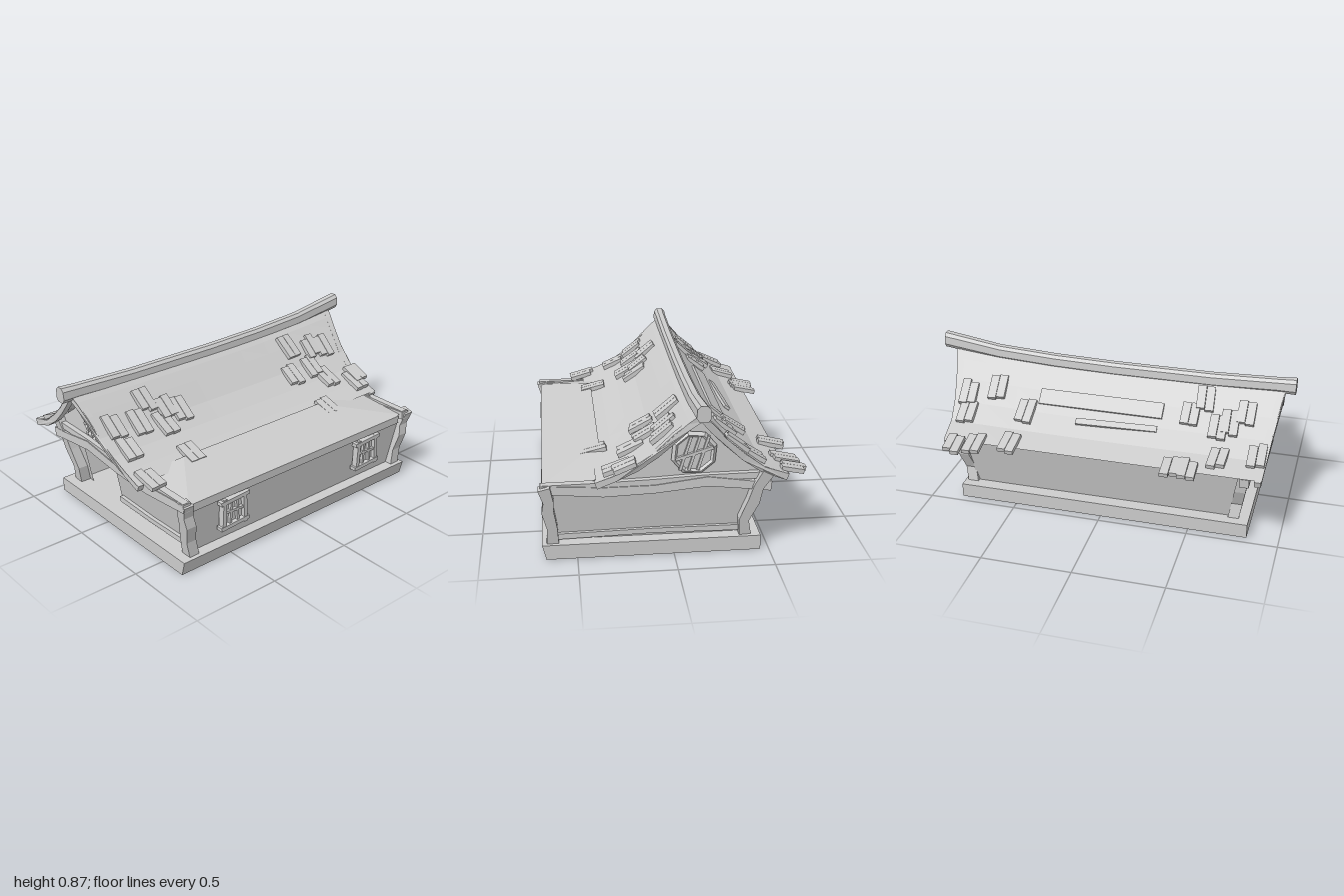
import * as THREE from 'three';

const grey = new THREE.MeshStandardMaterial({ color: 0xcccccc, flatShading: true, side: THREE.DoubleSide });

function add(parent, name, geo, x = 0, y = 0, z = 0) {
  const m = new THREE.Mesh(geo, grey);
  m.name = name;
  m.position.set(x, y, z);
  parent.add(m);
  return m;
}

// Move every vertex by a rule
function warp(geo, rule) {
  const p = geo.attributes.position, v = new THREE.Vector3();
  for (let i = 0; i < p.count; i++) {
    v.fromBufferAttribute(p, i);
    rule(v);
    p.setXYZ(i, v.x, v.y, v.z);
  }
  geo.computeVertexNormals();
  return geo;
}

// Surface from polygons of [x, y, z] corners
function faces(polys) {
  const pos = [];
  for (const p of polys)
    for (let i = 1; i < p.length - 1; i++) pos.push(...p[0], ...p[i], ...p[i + 1]);
  const g = new THREE.BufferGeometry();
  g.setAttribute('position', new THREE.Float32BufferAttribute(pos, 3));
  g.computeVertexNormals();
  return g;
}

// Crooked timber: a path in the xy plane with a width and a depth in z
function timber(path, width, depth) {
  const left = [], right = [];
  path.forEach(([x, y], i) => {
    const a = path[Math.max(i - 1, 0)], b = path[Math.min(i + 1, path.length - 1)];
    const dx = b[0] - a[0], dy = b[1] - a[1], l = Math.hypot(dx, dy);
    const w = width * (i % 2 ? 0.44 : 0.52);
    left.push(new THREE.Vector2(x - dy / l * w, y + dx / l * w));
    right.unshift(new THREE.Vector2(x + dy / l * w, y - dx / l * w));
  });
  const g = new THREE.ExtrudeGeometry(new THREE.Shape([...left, ...right]), { depth, bevelEnabled: false });
  return g.translate(0, 0, -depth / 2);
}

let seed = 7;
const rnd = () => (seed = (seed * 16807) % 2147483647) / 2147483647 - 0.5;

// Roof cross-section, sagging lengthwise towards the middle
const RIDGE = -0.12;
const profile = [[-0.58, 0.44], [-0.45, 0.48], [-0.35, 0.55], [-0.25, 0.635], [-0.18, 0.71], [RIDGE, 0.775],
  [-0.06, 0.73], [0, 0.675], [0.1, 0.58], [0.2, 0.515], [0.3, 0.47], [0.4, 0.435]];
function roofY(x, z) {
  let i = 0;
  while (i < profile.length - 2 && x > profile[i + 1][0]) i++;
  const [a, b] = [profile[i], profile[i + 1]];
  const near = Math.max(0, 1 - Math.abs(x - RIDGE) / 0.45);
  return a[1] + (b[1] - a[1]) * (x - a[0]) / (b[0] - a[0]) + near * z * z * (z > 0 ? 0.01 : 0.045);
}
const edgeZ = (x, s) => {
  const near = Math.max(0, 1 - Math.abs(x - RIDGE) / 0.46);
  return s > 0 ? 0.9 + 0.055 * near * near : -0.855 - 0.09 * near * near;
};

function latticeWindow() {
  const g = new THREE.Group();
  g.name = 'sideWindow';
  add(g, 'windowPane', new THREE.BoxGeometry(0.14, 0.15, 0.01));
  for (const s of [-1, 1]) {
    add(g, 'windowStile', new THREE.BoxGeometry(0.022, 0.18, 0.035), s * 0.07, 0, 0.01).rotation.z = s * 0.04;
    add(g, 'windowRail', new THREE.BoxGeometry(0.19, 0.022, 0.04), 0, s * 0.075, 0.01).rotation.z = 0.06;
    add(g, 'windowBar', new THREE.BoxGeometry(0.014, 0.15, 0.022), s * 0.022, 0, 0.01).rotation.z = s * 0.05;
  }
  add(g, 'windowBar', new THREE.BoxGeometry(0.15, 0.014, 0.022), 0, 0.005, 0.012).rotation.z = -0.05;
  return g;
}

function roundWindow() {
  const g = new THREE.Group();
  g.name = 'gableWindow';
  add(g, 'windowPane', new THREE.CylinderGeometry(0.1, 0.1, 0.01, 8)).rotation.x = Math.PI / 2;
  add(g, 'windowRing', new THREE.TorusGeometry(0.105, 0.017, 4, 8)).rotation.z = 0.3;
  for (const o of [-0.045, 0, 0.045]) add(g, 'windowBar', new THREE.BoxGeometry(0.014, 0.19, 0.02), o, 0, 0.008).rotation.z = -0.3;
  add(g, 'windowBar', new THREE.BoxGeometry(0.2, 0.016, 0.025), 0, 0, 0.008).rotation.z = 0.3;
  return g;
}

export function createModel() {
  const model = new THREE.Group();
  model.name = 'house';

  // Plinth, slightly uneven
  add(model, 'base', warp(new THREE.BoxGeometry(1.13, 0.08, 1.65), v => {
    if (v.x > 0) v.x += v.y > 0 ? 0.005 : -0.015;
    v.y += 0.04;
    v.x += 0.11;
  }));

  // Flared walls, with a doorway in the front one
  const lo = { l: -0.38, r: 0.615, f: 0.71, b: -0.755, y: 0.08 };
  const hi = { l: -0.45, r: 0.65, f: 0.77, b: -0.8, y: 0.4 };
  const c = (q, x, z) => [q[x], q.y, q[z]];
  const wall = (x1, z1, x2, z2) => faces([[c(lo, x1, z1), c(lo, x2, z2), c(hi, x2, z2), c(hi, x1, z1)]]);
  add(model, 'leftWall', wall('r', 'f', 'r', 'b'));
  add(model, 'rightWall', wall('l', 'b', 'l', 'f'));
  add(model, 'backWall', wall('r', 'b', 'l', 'b'));
  const front = new THREE.Shape([[-0.38, 0.08], [-0.31, 0.08], [-0.31, 0.35], [-0.015, 0.35], [-0.015, 0.08],
    [0.615, 0.08], [0.65, 0.4], [-0.45, 0.4]].map(p => new THREE.Vector2(...p)));
  add(model, 'frontWall', warp(new THREE.ShapeGeometry(front), v => { v.z = 0.71 + (v.y - 0.08) * 0.19; }));

  // Crooked corner posts, leaning outwards
  const rightPost = [[-0.375, 0.08], [-0.365, 0.17], [-0.41, 0.28], [-0.43, 0.37], [-0.475, 0.45]];
  const leftPost = [[0.625, 0.08], [0.625, 0.17], [0.645, 0.27], [0.64, 0.33], [0.66, 0.41]];
  for (const s of [-1, 1]) {
    for (const path of [rightPost, leftPost])
      add(model, 'cornerPost', warp(timber(path, 0.06, 0.06), v => {
        v.z += s * (s > 0 ? 0.74 : 0.775) + s * (v.y - 0.08) * 0.17;
      }));

    // Sills and cross beams on the end walls
    add(model, 'sillBeam', timber(s > 0 ? [[0, 0.115], [0.28, 0.11], [0.6, 0.115]]
      : [[-0.36, 0.11], [0.1, 0.115], [0.6, 0.105]], 0.03, 0.03), 0, 0, s > 0 ? 0.725 : -0.765);
    add(model, 'crossBeam', timber([[-0.5, 0.365], [-0.4, 0.375], [-0.17, 0.405], [0.1, 0.375], [0.36, 0.37], [0.68, 0.395]],
      0.05, 0.05), 0, 0, s > 0 ? 0.8 : -0.81);
    add(model, 'gableBeam', timber([[-0.5, 0.425], [-0.15, 0.425], [0.1, 0.41], [0.4, 0.405], [0.67, 0.4]],
      0.035, 0.04), 0, 0, s > 0 ? 0.8 : -0.81);

    // Gable with its round window
    const z = s > 0 ? 0.79 : -0.8;
    const gable = profile.map(([x]) => new THREE.Vector2(x, roofY(x, z) - 0.006)).slice(1);
    gable.push(new THREE.Vector2(0.5, 0.38), new THREE.Vector2(-0.45, 0.38));
    add(model, 'gable', new THREE.ShapeGeometry(new THREE.Shape(gable)), 0, 0, z);
    const win = roundWindow();
    win.position.set(-0.1, 0.56, z + s * 0.012);
    win.rotation.y = s > 0 ? 0 : Math.PI;
    model.add(win);

    // Bargeboards under the roof edge
    for (const part of [profile.slice(0, 6), profile.slice(5)])
      add(model, 'bargeboard', warp(timber(part.map(([x]) => [x, roofY(x, s * 0.9) - 0.022]), 0.035, 0.035), v => {
        v.z += edgeZ(v.x, s) - s * 0.022;
      }));
  }

  // Beams along the wall tops
  add(model, 'leftEaveBeam', new THREE.BoxGeometry(0.035, 0.045, 1.53), 0.652, 0.375, 0);
  add(model, 'rightEaveBeam', new THREE.BoxGeometry(0.035, 0.045, 1.55), -0.455, 0.4, 0);

  // Windows along the left wall
  for (const z of [0.48, -0.51]) {
    const w = latticeWindow();
    w.position.set(0.645, 0.25, z);
    w.rotation.set(0, Math.PI / 2, 0);
    model.add(w);
  }

  // Curved roof sheet
  const roof = new THREE.PlaneGeometry(1, 1, profile.length - 1, 10);
  add(model, 'roof', warp(roof, v => {
    const x = profile[Math.round((v.x + 0.5) * (profile.length - 1))][0];
    const z = THREE.MathUtils.lerp(edgeZ(x, -1), edgeZ(x, 1), 0.5 - v.y);
    v.set(x, roofY(x, z), z);
  }));

  // Shallow lean-to roof over the left wall
  const A = [0.36, 0.47, 0.57], B = [0.36, 0.47, -0.42], C = [0.665, 0.4, -0.78], D = [0.665, 0.4, 0.78];
  const E = [0.3, 0.42, 0.79], F = [0.3, 0.42, -0.79];
  add(model, 'leanToRoof', faces([[A, D, C, B], [A, E, D], [B, C, F]]));

  // Ridge beam with upswept ends
  const ridge = [[1, 0.783], [0.9, 0.78], [0.55, 0.767], [0, 0.765], [-0.35, 0.772], [-0.68, 0.79], [-1, 0.835]];
  const rings = ridge.map(([z, y], i) => {
    const k = i % 6 ? 1 : 1.1;
    return [[-0.034, -0.02], [-0.02, -0.04], [0.02, -0.04], [0.034, -0.02], [0.03, 0.02], [0.015, 0.036], [-0.015, 0.036], [-0.03, 0.02]]
      .map(([a, b]) => [RIDGE + a * k, y + b * k, z]);
  });
  const sides = [rings[0], [...rings.at(-1)].reverse()];
  for (let i = 0; i < rings.length - 1; i++)
    for (let j = 0; j < 8; j++) {
      const n = (j + 1) % 8;
      sides.push([rings[i][j], rings[i + 1][j], rings[i + 1][n], rings[i][n]]);
    }
  add(model, 'ridgeBeam', faces(sides));

  // Scattered shingles, each a pair of small planks lying on the slope
  const spots = [[-0.62, -0.78], [-0.6, -0.67], [-0.56, -0.48], [-0.41, -0.78], [-0.32, -0.8], [-0.28, -0.64],
    [-0.36, -0.45], [-0.58, 0.42], [-0.58, 0.51], [-0.48, 0.65], [-0.44, 0.85], [-0.28, 0.46], [-0.21, 0.53],
    [-0.33, 0.62], [-0.3, 0.68], [-0.25, 0.76], [0.05, -0.74], [0.04, -0.65], [0.13, -0.58], [0, -0.5],
    [0.14, -0.42], [0.25, -0.83], [0.3, -0.79], [0.22, -0.63], [0.38, -0.46], [0.1, 0.39], [0.07, 0.47],
    [0.02, 0.57], [0.15, 0.52], [0.09, 0.66], [0.2, 0.8], [0.08, 0.81], [0.35, 0.51], [0.4, 0.82]];
  for (const [x, z] of spots) {
    const g = new THREE.Group();
    g.name = 'shingle';
    const slope = Math.atan2(roofY(x + 0.04, z) - roofY(x - 0.04, z), 0.08);
    for (const s of [-1, 1])
      add(g, 'shinglePlank', new THREE.BoxGeometry(0.135 + rnd() * 0.03, 0.024, 0.046), rnd() * 0.025, 0, s * 0.024);
    g.position.set(x, roofY(x, z) + 0.014, z);
    g.rotation.set(0, rnd() * 0.15, slope + (x < RIDGE ? -0.08 : 0.08));
    model.add(g);
  }

  // Loose planks on the right slope
  for (const [x, z, len, w, turn] of [[-0.28, -0.04, 0.7, 0.09, 0], [-0.37, 0.07, 0.45, 0.035, 0.05]]) {
    const p = add(model, 'loosePlank', new THREE.BoxGeometry(w, 0.016, len), x, roofY(x, z) + 0.008, z);
    p.rotation.set(0, turn, Math.atan2(roofY(x + 0.04, z) - roofY(x - 0.04, z), 0.08));
  }
  return model;
}
